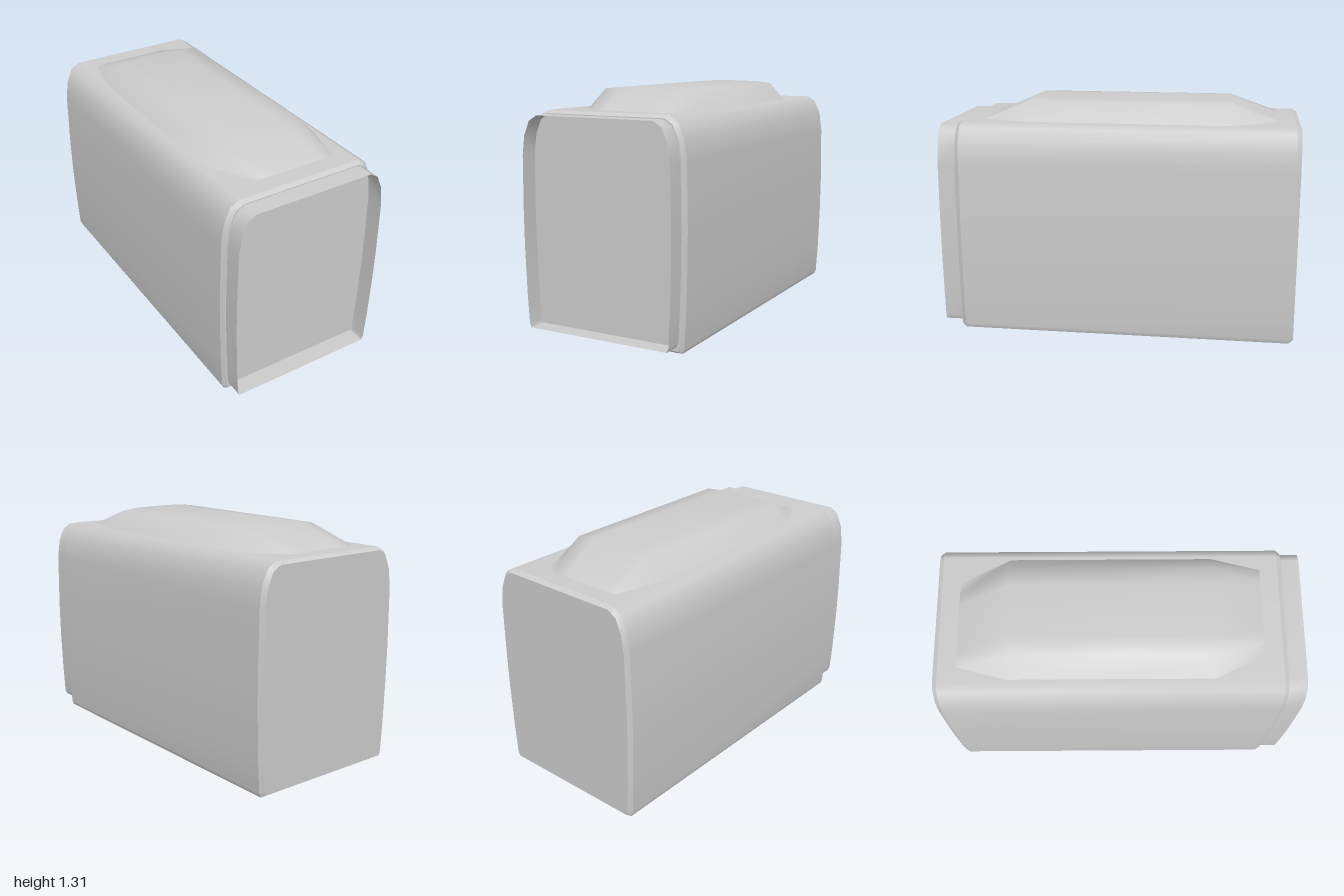
import * as THREE from 'three';

// Half outline of the body section, from the bottom corner up to the flat top
const HALF = [[0.44, 0], [0.45, 0.025], [0.46, 0.2], [0.468, 0.45], [0.47, 0.65], [0.465, 0.98],
  [0.45, 1.09], [0.415, 1.17], [0.365, 1.2]];
// Half outline of the roof pod section
const POD = [[-0.35, 1.2], [-0.25, 1.3], [-0.15, 1.31], [0, 1.312], [0.15, 1.31], [0.25, 1.3], [0.35, 1.2]];

// Full outline, left side over the top to the right side
function outline(sx = 1, y0 = 0, y1 = 1.2) {
  const right = HALF.map(([x, y]) => [x * sx, y0 + (y / 1.2) * (y1 - y0)]);
  return [...right.map(([x, y]) => [-x, y]), ...right.reverse()];
}

// Skin through sections ordered from front to back
function loft(sections) {
  const n = sections[0].pts.length, pos = [], idx = [];
  for (const { z, pts } of sections) for (const [x, y] of pts) pos.push(x, y, z);
  for (let i = 0; i < sections.length - 1; i++) {
    for (let j = 0; j < n - 1; j++) {
      const a = i * n + j, b = a + 1, c = a + n, d = c + 1;
      idx.push(a, b, c, b, d, c);
    }
  }
  const g = new THREE.BufferGeometry();
  g.setAttribute('position', new THREE.Float32BufferAttribute(pos, 3));
  g.setIndex(idx);
  g.computeVertexNormals();
  return g;
}

export function createModel() {
  const grey = new THREE.MeshStandardMaterial({ color: 0xcccccc, side: THREE.DoubleSide });
  grey.name = 'light grey';
  const model = new THREE.Group();
  model.name = 'housing';
  const add = (name, geometry) => {
    const m = new THREE.Mesh(geometry, grey);
    m.name = name;
    model.add(m);
    return m;
  };
  const floorOf = (pts) => [pts[pts.length - 1], pts[0]];

  // Long body with narrow bevels at both ends
  const full = outline();
  const inset = outline(0.968, 0.015, 1.185);
  const rings = [{ z: 0.9, pts: inset }, { z: 0.875, pts: full }, { z: -0.975, pts: full }, { z: -1, pts: inset }];
  ['frontBevel', 'bodyShell', 'backBevel'].forEach((name, i) => {
    const pair = [rings[i], rings[i + 1]];
    add(name, loft(pair));
    add(name + 'Floor', loft(pair.map(({ z, pts }) => ({ z, pts: floorOf(pts) }))));
  });

  // Flat end panels
  const panel = new THREE.Shape(inset.map(([x, y]) => new THREE.Vector2(x, y)));
  add('frontPanel', new THREE.ShapeGeometry(panel)).position.z = 0.9;
  const back = add('backPanel', new THREE.ShapeGeometry(panel));
  back.rotation.y = Math.PI;
  back.position.z = -1;

  // Open collar around the recessed front panel
  const rim = outline(0.953, 0.04, 1.18);
  add('frontCollar', loft([{ z: 1, pts: rim }, { z: 0.9, pts: rim }]));
  add('frontCollarFloor', loft([{ z: 1, pts: floorOf(rim) }, { z: 0.9, pts: floorOf(rim) }]));

  // Raised roof pod, tapering down to the roof at both ends
  const tip = (x0, x1) => POD.map(([x]) => [x0 + ((x + 0.35) / 0.7) * (x1 - x0), 1.2005]);
  add('roofPod', loft([
    { z: 0.775, pts: tip(-0.22, 0.28) },
    { z: 0.51, pts: POD },
    { z: -0.05, pts: POD },
    { z: -0.6, pts: POD },
    { z: -0.875, pts: tip(-0.28, 0.21) },
  ]));
  return model;
}
